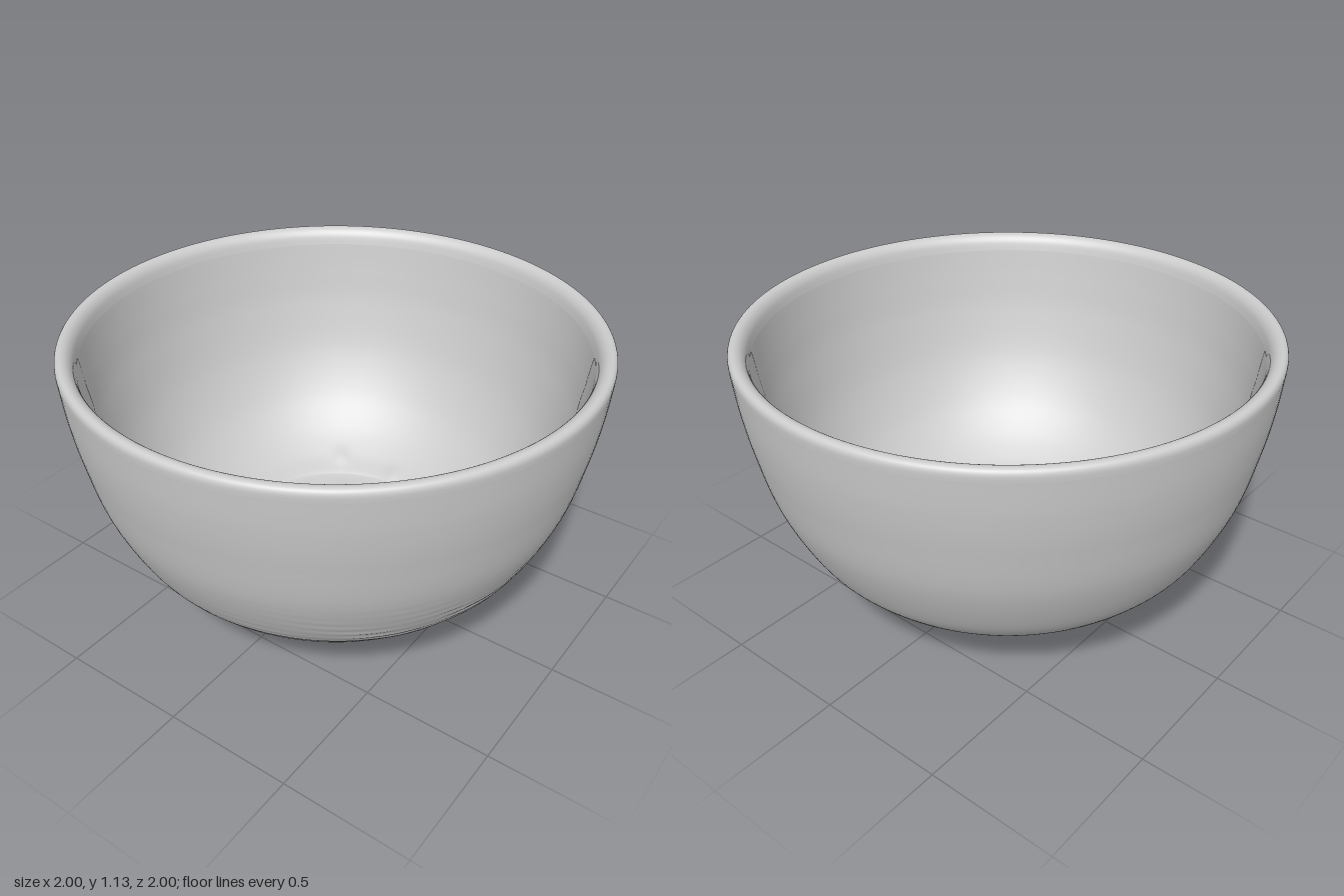
import * as THREE from 'three';

const SEGMENTS = 160;
const material = new THREE.MeshStandardMaterial({ color: 0xcccccc });

// Smooth profile through [radius, height] points
function smooth(points, count) {
  const curve = new THREE.SplineCurve(points.map(([r, y]) => new THREE.Vector2(r, y)));
  return curve.getPoints(count).map((p) => new THREE.Vector2(Math.max(p.x, 0), p.y));
}

// Hand-thrown irregularity: the foot sits off centre and its base is slightly tilted
function lean(v) {
  const low = 1 - THREE.MathUtils.smoothstep(v.y, 0.05, 0.3);
  const base = 1 - THREE.MathUtils.smoothstep(v.y, 0.02, 0.12);
  v.y += base * 0.012 * (1 - (v.x + 0.04) / 0.38);
  v.x -= 0.045 * low;
  v.z += 0.01 * low;
}

// Shallow, uneven throwing ridges on the lower front left of the outer wall
function ridges(v) {
  const angle = Math.atan2(v.x, v.z);
  const patch = Math.exp(-(((angle + 0.5) / 0.75) ** 2) - ((v.y - 0.34) / 0.16) ** 2);
  const wave = Math.sin(v.y * 150 + 1.5 * Math.sin(angle * 6)) * (0.6 + 0.4 * Math.sin(angle * 13 + v.y * 30));
  const scale = 1 + 0.003 * patch * wave;
  v.x *= scale;
  v.z *= scale;
}

// Small lumps in the floor glaze
const LUMPS = [[0.46, -0.02], [0.42, -0.27], [0.27, -0.16], [0.14, -0.3], [-0.02, -0.17]];
function lumps(v) {
  if (v.y > 0.4) return;
  for (const [x, z] of LUMPS) v.y += 0.008 * Math.exp(-((v.x - x) ** 2 + (v.z - z) ** 2) / 0.0012);
}

function turned(name, profile, ...rules) {
  const geometry = new THREE.LatheGeometry(profile, SEGMENTS);
  const position = geometry.attributes.position;
  const v = new THREE.Vector3();
  for (let i = 0; i < position.count; i++) {
    v.fromBufferAttribute(position, i);
    rules.forEach((rule) => rule(v));
    position.setXYZ(i, v.x, v.y, v.z);
  }
  geometry.computeVertexNormals();
  // Match the normals on both sides of the seam
  const normal = geometry.attributes.normal;
  const last = SEGMENTS * profile.length;
  const n = new THREE.Vector3();
  for (let j = 0; j < profile.length; j++) {
    n.fromBufferAttribute(normal, j).add(v.fromBufferAttribute(normal, last + j)).normalize();
    normal.setXYZ(j, n.x, n.y, n.z);
    normal.setXYZ(last + j, n.x, n.y, n.z);
  }
  const mesh = new THREE.Mesh(geometry, material);
  mesh.name = name;
  return mesh;
}

export function createModel() {
  const bowl = new THREE.Group();
  bowl.name = 'bowl';

  // Foot: recessed underside, rounded ring and the groove below the wall
  bowl.add(turned('footRecess', smooth([[0, 0.04], [0.15, 0.04], [0.28, 0.038], [0.305, 0.03], [0.318, 0.006]], 24), lean));
  bowl.add(turned('footRing', smooth([[0.318, 0.006], [0.335, 0], [0.36, 0.004], [0.377, 0.025],
    [0.384, 0.05], [0.382, 0.066], [0.4, 0.078]], 32), lean));

  // Outer wall
  bowl.add(turned('outerWall', smooth([[0.4, 0.078], [0.5, 0.127], [0.63, 0.205], [0.75, 0.307], [0.83, 0.415],
    [0.912, 0.6], [0.96, 0.8], [0.985, 0.95], [0.998, 1.09]], 150), ridges, lean));

  // Rounded lip, softer towards the inside
  bowl.add(turned('rim', smooth([[0.998, 1.09], [0.998, 1.114], [0.99, 1.129], [0.974, 1.134],
    [0.954, 1.126], [0.938, 1.105], [0.928, 1.07]], 30)));

  // Inner wall running into the floor, with a faint circular step
  bowl.add(turned('interior', smooth([[0.928, 1.07], [0.908, 0.95], [0.877, 0.8], [0.815, 0.6], [0.725, 0.43],
    [0.625, 0.318], [0.52, 0.242], [0.44, 0.204], [0.415, 0.193], [0.36, 0.186], [0.25, 0.176], [0.12, 0.171], [0, 0.17]], 120), lumps));

  return bowl;
}
